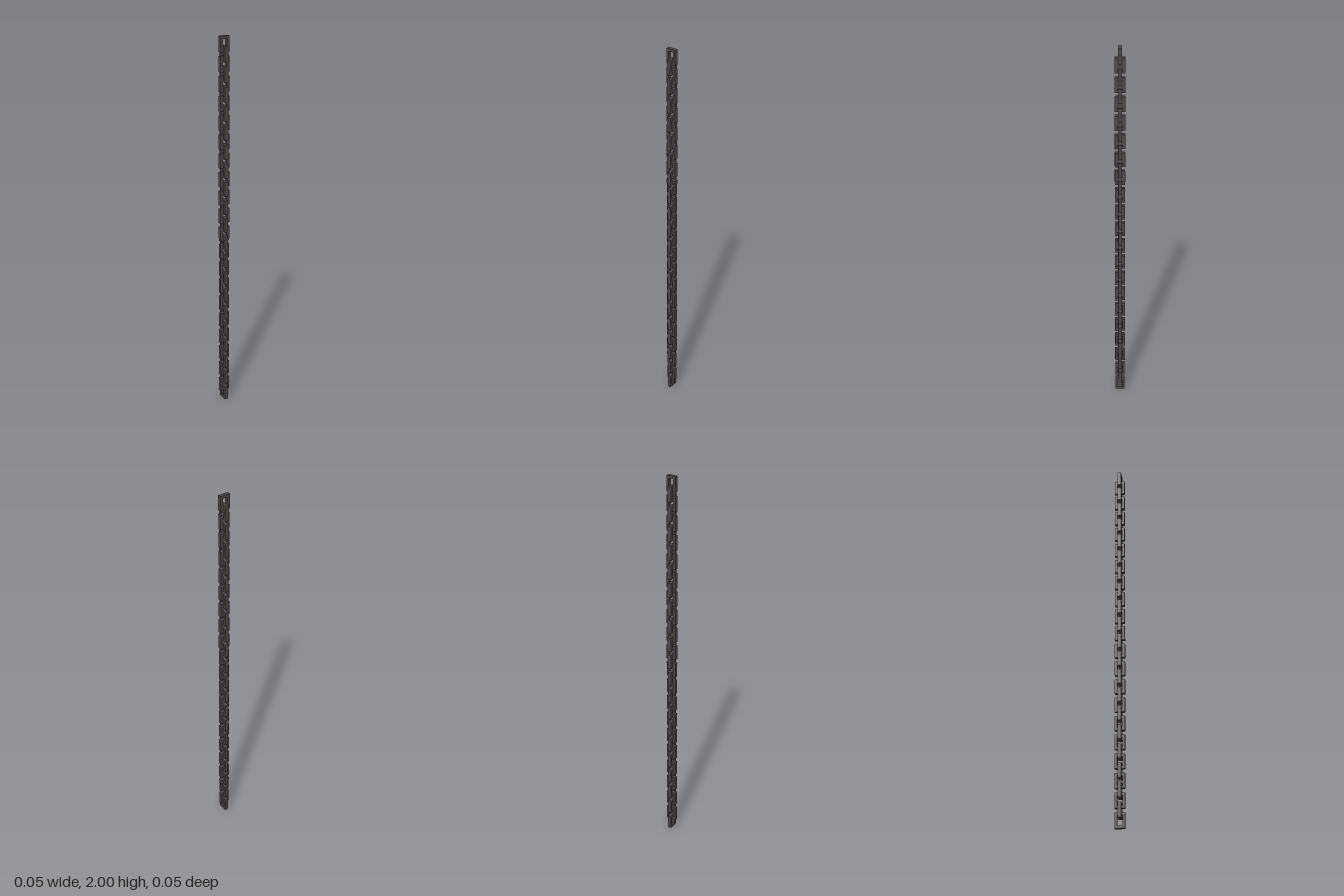
import * as THREE from 'three';

const LINKS = 40, LENGTH = 0.077, WIDTH = 0.052, DEPTH = 0.019, BAR = 0.0135;

// Rectangular outline, used for both the link and its hole
function rectangle(path, w, h) {
  path.moveTo(-w / 2, -h / 2);
  path.lineTo(w / 2, -h / 2);
  path.lineTo(w / 2, h / 2);
  path.lineTo(-w / 2, h / 2);
  path.closePath();
  return path;
}

export function createModel() {
  const chain = new THREE.Group();
  chain.name = 'chain';

  const iron = new THREE.MeshStandardMaterial({ color: 0x4d4843 });
  iron.name = 'dark iron';

  // One square-edged link with an open middle
  const outline = rectangle(new THREE.Shape(), WIDTH, LENGTH);
  outline.holes.push(rectangle(new THREE.Path(), WIDTH - 2 * BAR, LENGTH - 2 * BAR));
  const linkGeometry = new THREE.ExtrudeGeometry(outline, { depth: DEPTH, bevelEnabled: false });
  linkGeometry.translate(0, 0, -DEPTH / 2);

  // Links alternate by a quarter turn; the lowest faces sideways
  const pitch = (2 - LENGTH) / (LINKS - 1);
  for (let i = 0; i < LINKS; i++) {
    const link = new THREE.Mesh(linkGeometry, iron);
    link.name = `link${i + 1}`;
    link.position.y = LENGTH / 2 + i * pitch;
    link.rotation.y = i % 2 === 0 ? Math.PI / 2 : 0;
    chain.add(link);
  }
  return chain;
}
